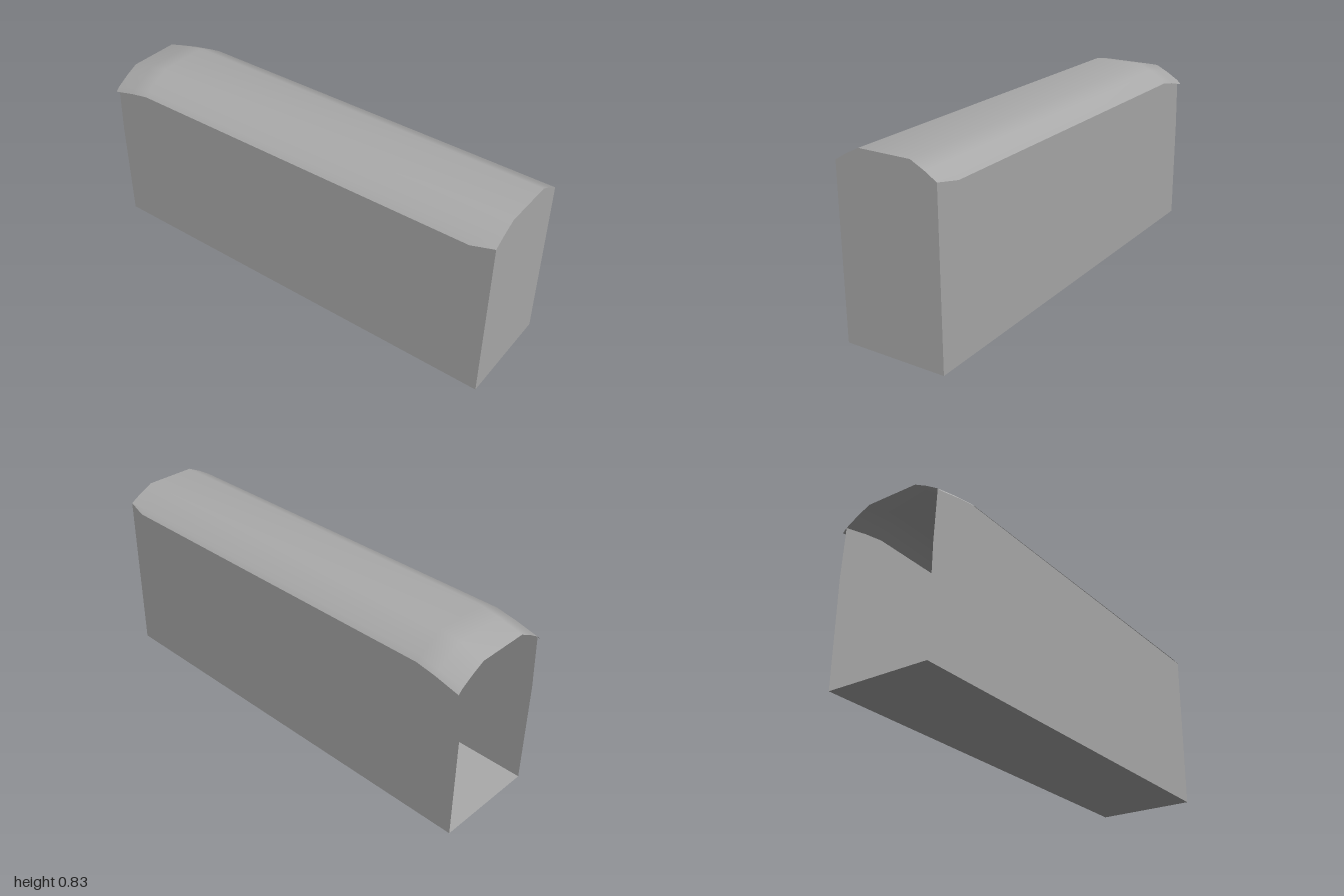
import * as THREE from 'three';

const HALF = 0.237; // half width of the body

export function createModel() {
  const group = new THREE.Group();
  const grey = new THREE.MeshStandardMaterial({ color: 0xaaaaaa, side: THREE.DoubleSide });
  grey.name = 'plain grey';

  const add = (name, geometry) => {
    const mesh = new THREE.Mesh(geometry, grey);
    mesh.name = name;
    group.add(mesh);
    return mesh;
  };
  const panel = (points) =>
    new THREE.ShapeGeometry(new THREE.Shape(points.map(([x, y]) => new THREE.Vector2(x, y))));

  // Side walls, whose top follows the drooping roof
  const side = [[-1, 0], [1, 0], [1, 0.765], [-0.79, 0.765], [-0.88, 0.748], [-0.99, 0.72], [-1, 0.48]];
  add('frontWall', panel(side)).position.z = HALF;
  const back = add('backWall', panel(side.map(([x, y]) => [-x, y])));
  back.rotation.y = Math.PI;
  back.position.z = -HALF;

  // Closed end wall; the opposite end stays open
  const end = add('endWall', panel([
    [-HALF, 0], [HALF, 0], [HALF, 0.765], [0.18, 0.8], [0.12, 0.83],
    [-0.12, 0.83], [-0.18, 0.8], [-HALF, 0.765],
  ]));
  end.rotation.y = Math.PI / 2;
  end.position.x = 1;

  // Floor
  add('floor', new THREE.PlaneGeometry(2, HALF * 2).rotateX(Math.PI / 2));

  // Roof sheet: stations along x are [x, drop, eave z, eave y]
  const stations = [
    [-0.99, 0.045, 0.256, 0.746], [-0.88, 0.017, 0.256, 0.746], [-0.79, 0, 0.256, 0.746],
    [0.9, 0, 0.256, 0.748], [1, 0, HALF, 0.765],
  ];
  const positions = [];
  const index = [];
  stations.forEach(([x, drop, eaveZ, eaveY], i) => {
    const half = [[eaveZ, eaveY], [HALF, 0.765], [0.18, 0.8], [0.12, 0.83]];
    const profile = [...half.map(([z, y]) => [-z, y]), ...half.reverse()];
    profile.forEach(([z, y], j) => {
      positions.push(x, y - drop, z);
      if (i < stations.length - 1 && j < 7) {
        const a = i * 8 + j;
        index.push(a, a + 1, a + 8, a + 1, a + 9, a + 8);
      }
    });
  });
  const roof = new THREE.BufferGeometry();
  roof.setAttribute('position', new THREE.Float32BufferAttribute(positions, 3));
  roof.setIndex(index);
  roof.computeVertexNormals();
  add('roof', roof);

  return group;
}
